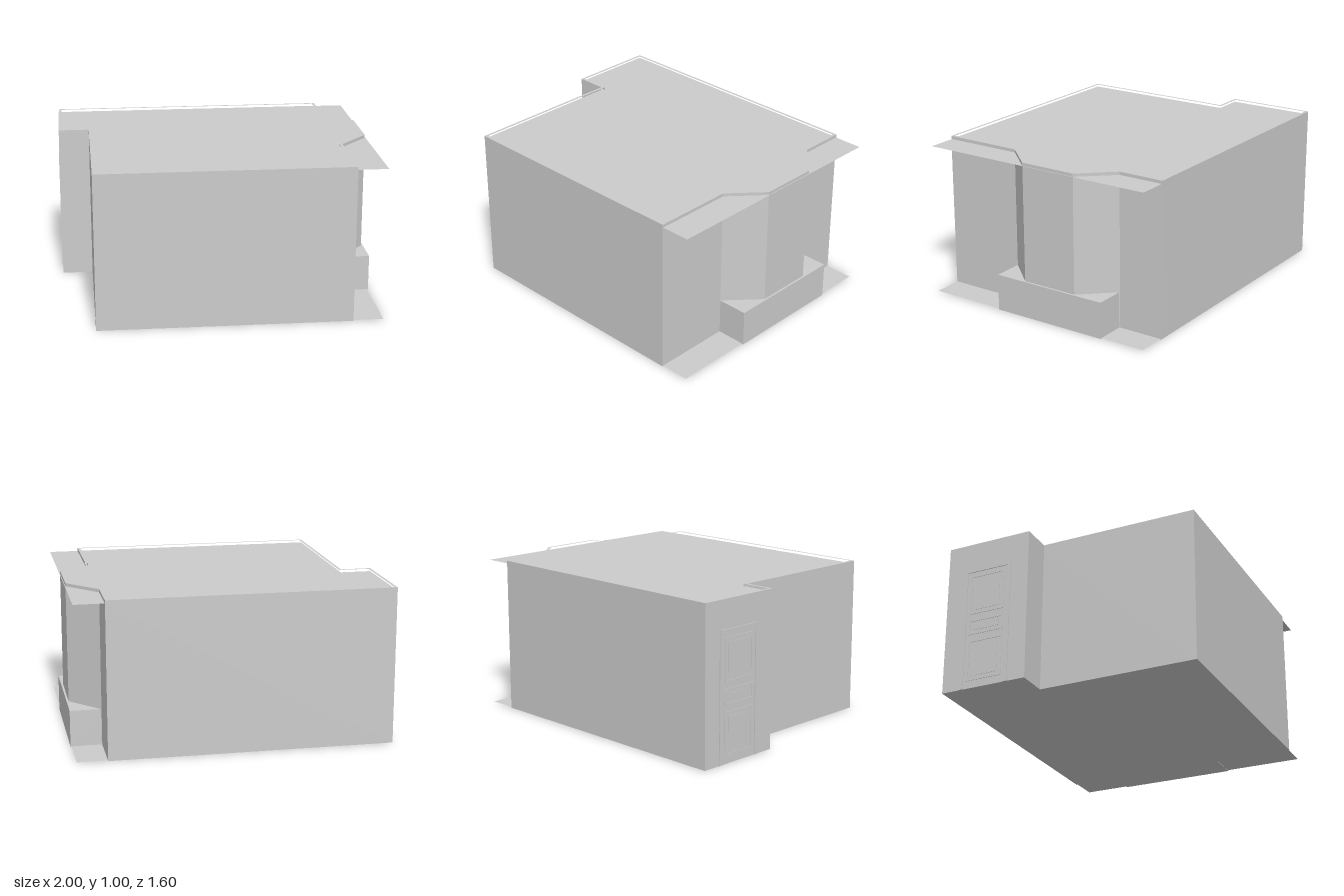
import * as THREE from 'three';

const material = new THREE.MeshStandardMaterial({ color: 0xcccccc, flatShading: true });
const thin = new THREE.MeshStandardMaterial({ color: 0xcccccc, flatShading: true, side: THREE.DoubleSide });

// Floor plan as [x, z], with the bay on +x and the door bump on -x
const plan = [
  [-0.997, -0.8], [0.8, -0.8], [0.8, -0.5], [0.985, -0.295], [0.985, 0.08],
  [0.8, 0.285], [0.8, 0.8], [-0.8, 0.8], [-0.8, -0.23], [-0.997, -0.23],
].map(([x, z]) => new THREE.Vector2(x, z));

// Mitred inward offset of a closed outline
function inset(points, d) {
  const n = points.length;
  const normal = (a, b) => new THREE.Vector2(a.y - b.y, b.x - a.x).normalize();
  return points.map((p, i) => {
    const n1 = normal(points[(i + n - 1) % n], p);
    const n2 = normal(p, points[(i + 1) % n]);
    return p.clone().addScaledVector(n1.clone().add(n2), d / (1 + n1.dot(n2)));
  });
}

// Upright prism over an [x, z] outline from y0 to y1
function prism(name, outline, y0, y1, hole) {
  const flip = (pts) => pts.map((p) => new THREE.Vector2(p.x, -p.y));
  const shape = new THREE.Shape(flip(outline));
  if (hole) shape.holes.push(new THREE.Path(flip(hole)));
  const geometry = new THREE.ExtrudeGeometry(shape, { depth: y1 - y0, bevelEnabled: false });
  geometry.rotateX(-Math.PI / 2).translate(0, y0, 0);
  const mesh = new THREE.Mesh(geometry, material);
  mesh.name = name;
  return mesh;
}

// Box given by its two extreme corners
function box(name, [x0, y0, z0], [x1, y1, z1]) {
  const mesh = new THREE.Mesh(new THREE.BoxGeometry(x1 - x0, y1 - y0, z1 - z0), material);
  mesh.position.set((x0 + x1) / 2, (y0 + y1) / 2, (z0 + z1) / 2);
  mesh.name = name;
  return mesh;
}

// Flat frame standing on the -x wall
function frame(name, z0, z1, y0, y1, w, x0, x1, open = false) {
  const group = new THREE.Group();
  group.name = name;
  group.add(
    box(name + 'Back', [x0, y0, z0], [x1, y1, z0 + w]),
    box(name + 'Front', [x0, y0, z1 - w], [x1, y1, z1]),
    box(name + 'Top', [x0, y1 - w, z0 + w], [x1, y1, z1 - w]),
  );
  if (!open) group.add(box(name + 'Bottom', [x0, y0, z0 + w], [x1, y0 + w, z1 - w]));
  return group;
}

export function createModel() {
  const model = new THREE.Group();
  model.name = 'house';

  // Walls with flat roof, and the low parapet around it
  model.add(prism('walls', plan, 0, 0.98));
  model.add(prism('parapet', plan, 0.98, 1, inset(plan, 0.018)));

  // Base under the bay window
  model.add(box('bayBase', [0.79, 0, -0.497], [0.998, 0.235, 0.285]));

  // Thin canopy and ground sheets along the bay side
  for (const [name, y] of [['canopy', 0.98], ['groundStrip', 0.003]]) {
    const sheet = new THREE.Mesh(new THREE.PlaneGeometry(0.19, 1.59).rotateX(-Math.PI / 2), thin);
    sheet.position.set(0.895, y, 0);
    sheet.name = name;
    model.add(sheet);
  }

  // Panelled door on the -x wall
  const door = new THREE.Group();
  door.name = 'door';
  door.add(frame('doorFrame', -0.68, -0.35, 0, 0.82, 0.025, -1.002, -0.99, true));
  for (const [y0, y1] of [[0.05, 0.32], [0.36, 0.46], [0.5, 0.77]]) {
    door.add(frame('panelMoulding', -0.635, -0.395, y0, y1, 0.012, -1, -0.99));
    door.add(box('panel', [-0.999, y0 + 0.03, -0.605], [-0.99, y1 - 0.03, -0.425]));
  }
  model.add(door);
  return model;
}
